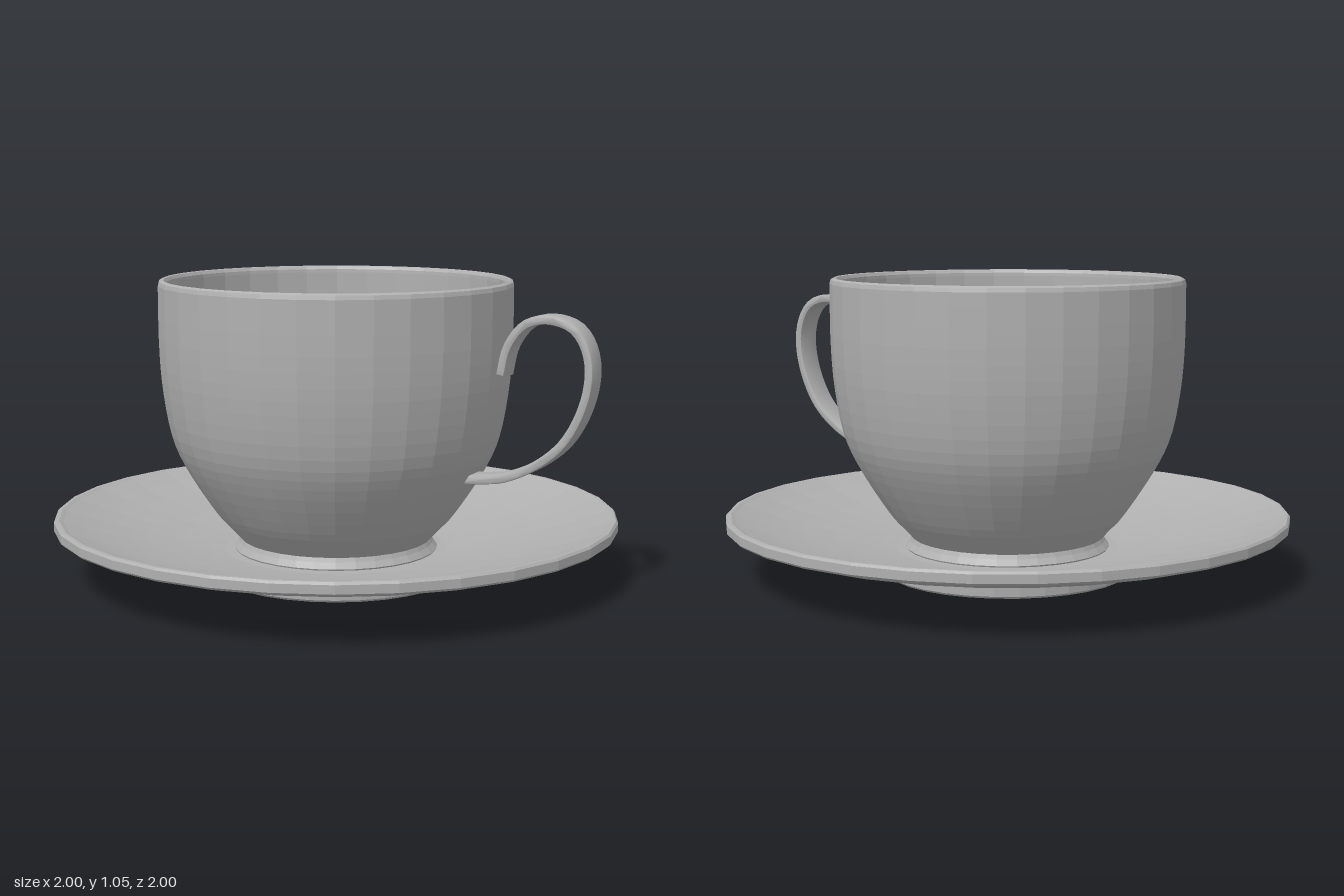
import * as THREE from 'three';
import { toCreasedNormals } from 'three/addons/utils/BufferGeometryUtils.js';

const SIDES = 32;
const vec = ([x, y]) => new THREE.Vector2(x, y);
const smooth = (pts, n) => new THREE.SplineCurve(pts.map(vec)).getPoints(n);

// Turned part with a closed profile: out along the bottom, up the outside, back down the inside
function turned(name, profile, material) {
  const mesh = new THREE.Mesh(new THREE.LatheGeometry(profile, SIDES, Math.PI / SIDES), material);
  mesh.name = name;
  return mesh;
}

export function createModel() {
  const group = new THREE.Group();
  group.name = 'cupAndSaucer';
  const china = new THREE.MeshStandardMaterial({ color: 0xb0b0b0, flatShading: true });
  china.name = 'grey china';
  const smoothChina = new THREE.MeshStandardMaterial({ color: 0xb0b0b0 });
  smoothChina.name = 'grey china smooth';

  // Saucer: foot, sloping underside, thin upright rim, dished top
  group.add(turned('saucer', [
    ...[[0, 0], [0.435, 0], [0.443, 0.008], [0.445, 0.05]].map(vec),
    ...smooth([[0.455, 0.066], [0.5, 0.075], [0.7, 0.107], [0.88, 0.146], [0.995, 0.18]], 12),
    ...[[1.003, 0.188], [1.003, 0.217], [0.996, 0.225], [0.985, 0.225]].map(vec),
    ...smooth([[0.97, 0.218], [0.85, 0.178], [0.68, 0.136], [0.5, 0.104], [0.4, 0.09]], 12),
    vec([0, 0.09]),
  ], china));

  // Cup: flared foot, bowl, rounded lip, hollow inside
  group.add(turned('cup', [
    ...[[0, 0.085], [0.36, 0.085], [0.365, 0.095], [0.35, 0.115]].map(vec),
    ...smooth([[0.343, 0.13], [0.375, 0.165], [0.43, 0.227], [0.527, 0.377], [0.582, 0.5],
      [0.613, 0.665], [0.625, 0.83], [0.626, 1.035]], 24),
    ...[[0.622, 1.049], [0.612, 1.055], [0.604, 1.053], [0.597, 1.042]].map(vec),
    ...smooth([[0.596, 1.03], [0.595, 0.83], [0.583, 0.665], [0.55, 0.5], [0.495, 0.377],
      [0.4, 0.235], [0.33, 0.18], [0.2, 0.158], [0, 0.15]], 28),
  ], china));

  // Handle: looped flat band, open at its upper end
  const path = new THREE.SplineCurve([[0.65, 0.765], [0.672, 0.855], [0.73, 0.93], [0.81, 0.952],
    [0.895, 0.93], [0.945, 0.865], [0.96, 0.77], [0.935, 0.655], [0.875, 0.546], [0.785, 0.467],
    [0.675, 0.413], [0.6, 0.398], [0.52, 0.391]].map(vec));
  const steps = 48, half = 0.007, bevel = 0.008, width = 0.092;
  const outer = [], inner = [];
  for (let i = 0; i <= steps; i++) {
    const p = path.getPointAt(i / steps), t = path.getTangentAt(i / steps);
    outer.push(new THREE.Vector2(p.x - t.y * half, p.y + t.x * half));
    inner.push(new THREE.Vector2(p.x + t.y * half, p.y - t.x * half));
  }
  const band = new THREE.ExtrudeGeometry(new THREE.Shape([...outer, ...inner.reverse()]), {
    depth: width - 2 * bevel, bevelEnabled: true, bevelSize: bevel, bevelThickness: bevel, bevelSegments: 2,
  });
  band.translate(0, 0, bevel - width / 2);
  const handle = new THREE.Mesh(toCreasedNormals(band, 0.7), smoothChina);
  handle.name = 'handle';
  handle.rotation.y = THREE.MathUtils.degToRad(10.4);
  group.add(handle);

  return group;
}
